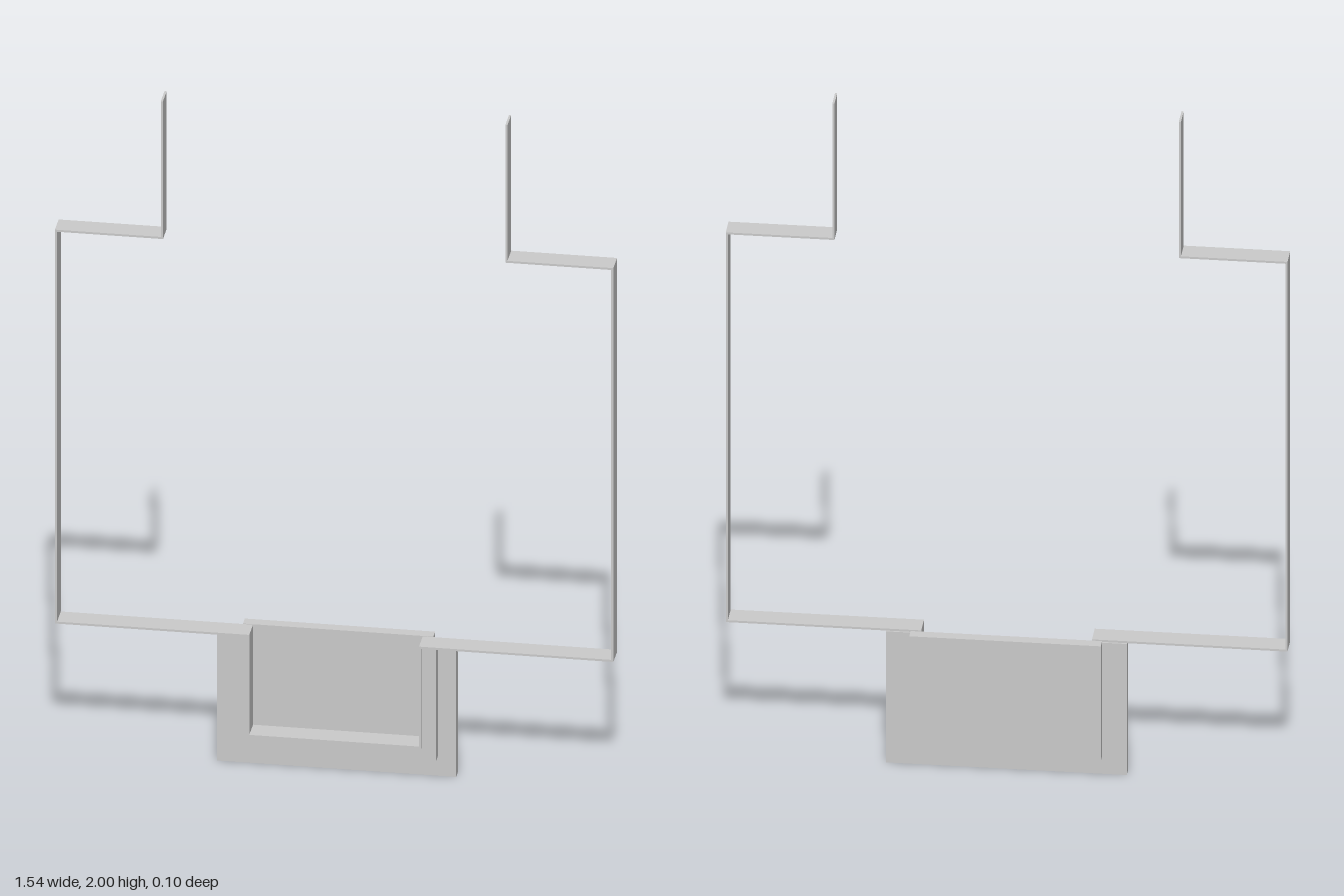
import * as THREE from 'three';

const material = new THREE.MeshStandardMaterial({ color: 0xcccccc, flatShading: true });

// Extrudes a closed outline between two depths
function slab(name, points, zBack, zFront) {
  const shape = new THREE.Shape(points.map(([x, y]) => new THREE.Vector2(x, y)));
  const geometry = new THREE.ExtrudeGeometry(shape, { depth: zFront - zBack, bevelEnabled: false });
  geometry.translate(0, 0, zBack);
  const mesh = new THREE.Mesh(geometry, material);
  mesh.name = name;
  return mesh;
}

// Adds the mirrored half of an outline that ends on the right side
const mirrored = (half) => [...half, ...half.slice().reverse().map(([x, y]) => [-x, y])];

// U-shaped frame, open at the top, around the pocket
function uFrame(name, outerX, bottom, innerX, innerBottom, top, zBack, zFront) {
  const inner = [[innerX, innerBottom], [innerX, top]];
  const outer = [[outerX, top], [outerX, bottom]];
  return slab(name, mirrored([...inner, ...outer]), zBack, zFront);
}

export function createModel() {
  const group = new THREE.Group();
  group.name = 'bracket';
  const t = 0.006;      // strip thickness
  const top = 0.4;      // top of the pocket

  // One continuous bent strip: hangers, side arms and pocket lining
  const upper = [
    [0.24, 0.098], [0.24, top], [0.77, top], [0.77, 1.59],
    [0.472 + t, 1.59], [0.472 + t, 2],
  ];
  const lower = [
    [0.472, 2], [0.472, 1.59 - t], [0.77 - t, 1.59 - t],
    [0.77 - t, top + t], [0.24 - t, top + t], [0.24 - t, 0.098 + t],
  ];
  const right = [...upper, ...lower];
  const left = right.map(([x, y]) => [-x, y]);
  // Outer edge from left tip to right tip, then back along the inner edge
  const outline = [
    ...left.slice(0, 6).reverse(), ...right.slice(0, 6),
    ...right.slice(6), ...left.slice(6).reverse(),
  ];
  group.add(slab('bentStrip', outline, -0.014, 0.051));

  // Stepped frames around the pocket
  group.add(uFrame('pocketCollar', 0.28, 0.06, 0.24, 0.098, top, 0.01, 0.042));
  group.add(uFrame('mountingFlange', 0.33, 0, 0.24, 0.098, top, -0.019, 0.01));

  // Panel closing the back of the pocket
  const back = new THREE.Mesh(new THREE.BoxGeometry(0.525, 0.35, 0.032), material);
  back.name = 'backPanel';
  back.position.set(0, 0.23, -0.035);
  group.add(back);

  return group;
}
